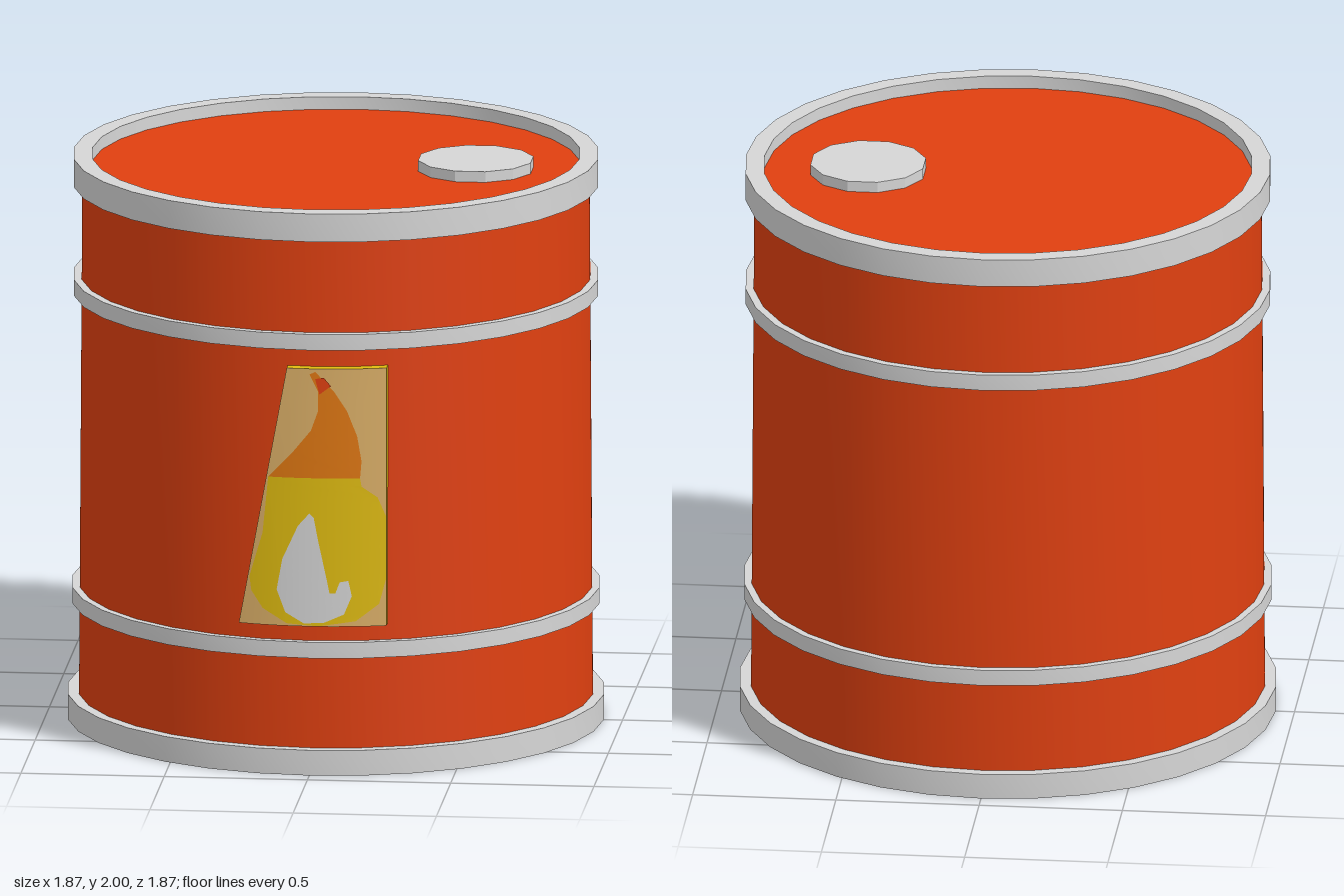
import * as THREE from 'three';
import { toCreasedNormals } from 'three/addons/utils/BufferGeometryUtils.js';

const SIDES = 32;
const mat = (name, color, side = THREE.FrontSide) => {
  const m = new THREE.MeshStandardMaterial({ color, side });
  m.name = name;
  return m;
};

// Turned solid from [radius, height] points, with sharp profile edges
function turned(points) {
  const g = new THREE.LatheGeometry(points.map(p => new THREE.Vector2(...p)), SIDES);
  return toCreasedNormals(g, 0.5);
}

// Rectangular hoop around the drum
const hoop = (inner, outer, y0, y1) =>
  turned([[inner, y0], [outer, y0], [outer, y1], [inner, y1], [inner, y0]]);

// Point on a vertical cylinder, keeping its x
const onCylinder = (x, y, r) => [x, y, Math.sqrt(r * r - x * x)];

// Flat shape finely divided, then wrapped onto a cylinder of radius r
function wrapped(shape, r) {
  const flat = new THREE.ShapeGeometry(shape, 6).toNonIndexed();
  const pos = flat.attributes.position;
  const out = [];
  const mid = (a, b) => [(a[0] + b[0]) / 2, (a[1] + b[1]) / 2];
  const divide = (a, b, c, n) => {
    if (n === 0) {
      for (const p of [a, b, c]) out.push(...onCylinder(p[0], p[1], r));
      return;
    }
    const ab = mid(a, b), bc = mid(b, c), ca = mid(c, a);
    divide(a, ab, ca, n - 1);
    divide(ab, b, bc, n - 1);
    divide(ca, bc, c, n - 1);
    divide(ab, bc, ca, n - 1);
  };
  const at = i => [pos.getX(i), pos.getY(i)];
  for (let i = 0; i < pos.count; i += 3) divide(at(i), at(i + 1), at(i + 2), 3);
  const g = new THREE.BufferGeometry();
  g.setAttribute('position', new THREE.Float32BufferAttribute(out, 3));
  g.computeVertexNormals();
  return toCreasedNormals(g, 0.5);
}

// Edge wall joining the label to the drum
function skirt(corners, r0, r1) {
  const out = [], steps = 8;
  corners.forEach((a, i) => {
    const b = corners[(i + 1) % corners.length];
    const at = (k, r) => onCylinder(a[0] + (b[0] - a[0]) * k / steps, a[1] + (b[1] - a[1]) * k / steps, r);
    for (let k = 0; k < steps; k++) {
      const p = at(k, r0), q = at(k + 1, r0), s = at(k + 1, r1), t = at(k, r1);
      out.push(...p, ...q, ...s, ...p, ...s, ...t);
    }
  });
  const g = new THREE.BufferGeometry();
  g.setAttribute('position', new THREE.Float32BufferAttribute(out, 3));
  g.computeVertexNormals();
  return g;
}

const polygon = pts => new THREE.Shape(pts.map(p => new THREE.Vector2(...p)));

export function createModel() {
  const model = new THREE.Group();
  model.name = 'drum';
  const red = mat('red paint', 0xe04010);
  const steel = mat('steel', 0xd6d6d6);
  const tan = mat('tan label', 0xdcb068, THREE.DoubleSide);
  const yellow = mat('yellow flame', 0xe0bc10, THREE.DoubleSide);
  const orange = mat('orange flame', 0xe07812, THREE.DoubleSide);

  const add = (name, geometry, material, parent = model) => {
    const mesh = new THREE.Mesh(geometry, material);
    mesh.name = name;
    parent.add(mesh);
    return mesh;
  };

  // Drum shell with recessed base and lid
  add('body', turned([
    [0, 0.06], [0.885, 0.06], [0.885, 0.003], [0.897, 0.003],
    [0.885, 1.93], [0.86, 1.955], [0, 1.955],
  ]), red);

  // Rims and hoops
  add('bottomRim', hoop(0.89, 0.935, 0, 0.09), steel);
  add('lowerHoop', hoop(0.88, 0.92, 0.415, 0.472), steel);
  add('upperHoop', hoop(0.875, 0.915, 1.513, 1.57), steel);
  add('topRim', hoop(0.85, 0.915, 1.9, 2), steel);

  // Filler cap on the lid
  const cap = add('fillerCap',
    toCreasedNormals(new THREE.CylinderGeometry(0.203, 0.203, 0.04, 12), 0.3), steel);
  cap.rotation.y = Math.PI / 12;
  cap.position.set(0.488, 1.973, 0);

  // Curved warning label
  const label = new THREE.Group();
  label.name = 'label';
  model.add(label);
  const corners = [[-0.25, 0.53], [0.265, 0.53], [0.265, 1.45], [-0.08, 1.45]];
  add('labelPanel', wrapped(polygon(corners), 0.926), tan, label);
  add('labelEdge', skirt(corners, 0.885, 0.926), yellow, label);

  // Flame layers, each a little further out
  add('lowerFlame', wrapped(polygon([
    [-0.145, 1.06], [-0.165, 0.86], [-0.212, 0.7], [-0.205, 0.65], [-0.165, 0.59], [-0.08, 0.54],
    [0.03, 0.532], [0.16, 0.55], [0.24, 0.61], [0.264, 0.7], [0.264, 0.92],
    [0.235, 0.99], [0.18, 1.03], [0.175, 1.06],
  ]), 0.929), yellow, label);
  add('upperFlame', wrapped(polygon([
    [-0.145, 1.06], [0.175, 1.06], [0.18, 1.12], [0.165, 1.21], [0.13, 1.3],
    [0.085, 1.37], [0.02, 1.44], [0.0, 1.43], [0.03, 1.37], [0.03, 1.3], [0.005, 1.23], [-0.06, 1.15],
  ]), 0.929), orange, label);
  add('flameTip', wrapped(polygon([
    [0.035, 1.36], [0.075, 1.39], [0.05, 1.42], [0.02, 1.415],
  ]), 0.932), red, label);
  add('flameCore', wrapped(polygon([
    [0, 0.935], [-0.04, 0.89], [-0.095, 0.77], [-0.115, 0.66], [-0.085, 0.58], [-0.02, 0.542],
    [0.05, 0.545], [0.12, 0.575], [0.147, 0.64], [0.135, 0.695], [0.105, 0.69],
    [0.09, 0.65], [0.07, 0.65], [0.06, 0.7], [0.03, 0.84], [0.015, 0.92],
  ]), 0.932), steel, label);

  return model;
}
